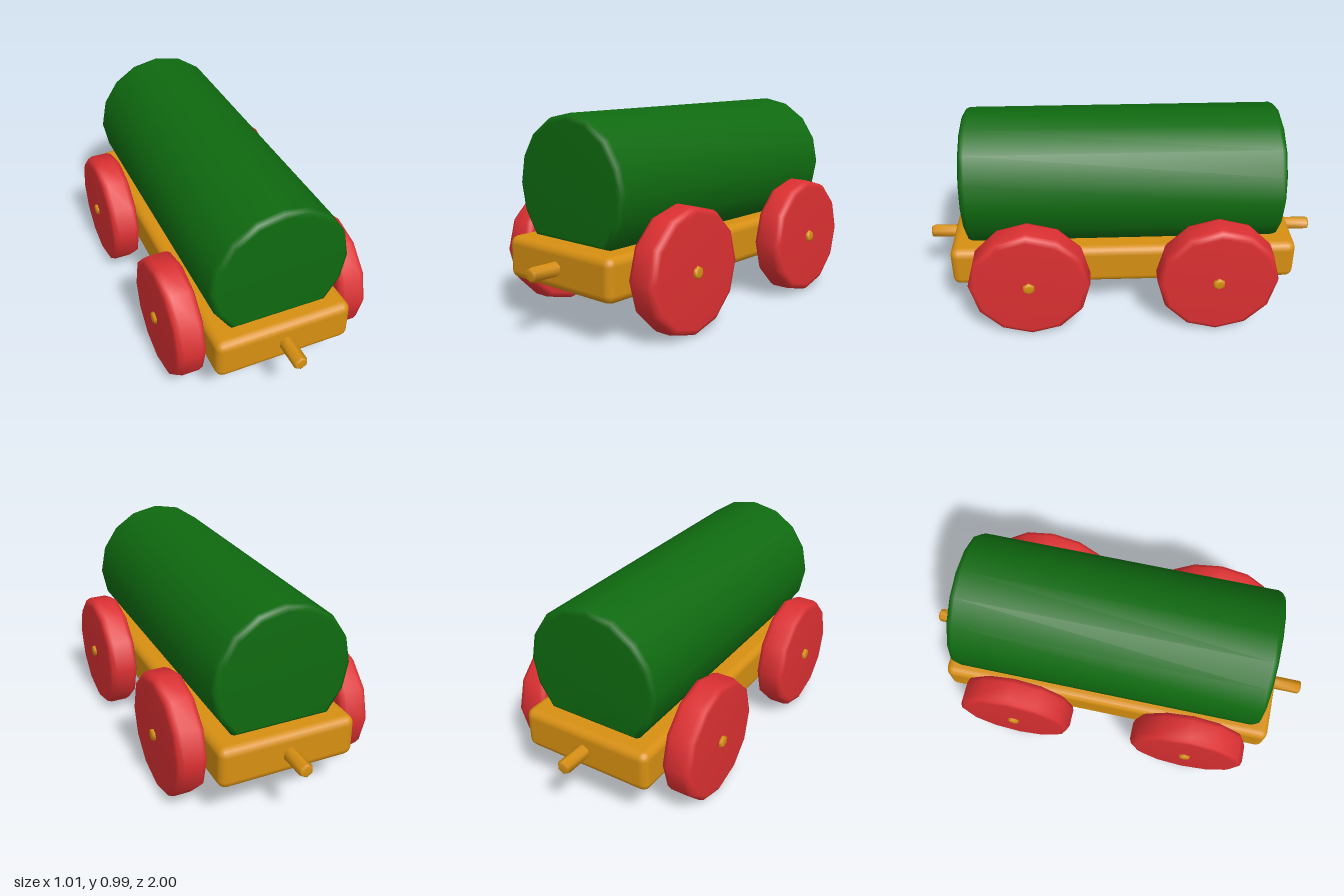
import * as THREE from 'three';
import { RoundedBoxGeometry } from 'three/addons/geometries/RoundedBoxGeometry.js';

// Regular polygon outline, counter-clockwise, first corner at the top
function polygon(sides, radius) {
  return Array.from({ length: sides }, (_, i) => {
    const a = Math.PI / 2 + (i / sides) * Math.PI * 2;
    return new THREE.Vector2(Math.cos(a) * radius, Math.sin(a) * radius);
  });
}

// Smooth prism along z whose end rims are rounded by a two-step bevel
function bevelledPrism(outline, radius, length, bevel) {
  const n = outline.length, h = length / 2, rings = [];
  for (let i = 0; i <= 2; i++) {
    const a = (i / 2) * Math.PI / 2;
    rings.push([-h + bevel * (1 - Math.sin(a)), 1 - (bevel / radius) * (1 - Math.cos(a))]);
  }
  rings.reverse();
  // order the rings from back to front
  const back = rings.map(([z, s]) => [z, s]).sort((p, q) => p[0] - q[0]);
  const all = [...back, ...back.map(([z, s]) => [-z, s]).reverse()];
  const pos = [], index = [];
  for (const [z, s] of all) for (const p of outline) pos.push(p.x * s, p.y * s, z);
  for (let r = 0; r < all.length - 1; r++) {
    for (let j = 0; j < n; j++) {
      const k = (j + 1) % n;
      const a = r * n + j, b = r * n + k, c = b + n, d = a + n;
      index.push(a, b, c, a, c, d);
    }
  }
  const backCentre = pos.length / 3, frontCentre = backCentre + 1;
  pos.push(0, 0, -h, 0, 0, h);
  const last = (all.length - 1) * n;
  for (let j = 0; j < n; j++) {
    const k = (j + 1) % n;
    index.push(backCentre, k, j, frontCentre, last + j, last + k);
  }
  const geo = new THREE.BufferGeometry();
  geo.setAttribute('position', new THREE.Float32BufferAttribute(pos, 3));
  geo.setIndex(index);
  geo.computeVertexNormals();
  return geo;
}

export function createModel() {
  const model = new THREE.Group();
  model.name = 'toyTankWagon';
  const material = (name, color) => {
    const m = new THREE.MeshStandardMaterial({ color });
    m.name = name;
    return m;
  };
  const green = material('greenPaint', 0x0f6a10);
  const orange = material('orangeWood', 0xd68f12);
  const red = material('redPaint', 0xdc3032);

  const add = (name, geo, mat, x, y, z, alongX = false) => {
    const mesh = new THREE.Mesh(geo, mat);
    mesh.name = name;
    mesh.position.set(x, y, z);
    if (alongX) mesh.rotation.y = Math.PI / 2;
    model.add(mesh);
  };

  // Chassis
  add('chassis', new RoundedBoxGeometry(0.68, 0.205, 1.71, 2, 0.04), orange, 0, 0.307, 0);

  // Tank: sixteen-sided barrel with its underside cut flat
  const tankOutline = polygon(16, 0.34).filter((p) => p.y > -0.25);
  add('tank', bevelledPrism(tankOutline, 0.34, 1.555, 0.03), green, 0, 0.651, 0);

  // Coupling pegs at both ends
  const peg = bevelledPrism(polygon(6, 0.035), 0.035, 0.22, 0.012);
  add('frontCoupling', peg, orange, 0, 0.309, 0.89);
  add('backCoupling', peg, orange, 0, 0.309, -0.89);

  // Axles and wheels
  const axle = bevelledPrism(polygon(6, 0.031), 0.031, 1.01, 0.012);
  const wheel = bevelledPrism(polygon(12, 0.296), 0.296, 0.148, 0.032);
  for (const [end, z] of [['front', 0.463], ['back', -0.453]]) {
    add(end + 'Axle', axle, orange, 0, 0.3, z, true);
    add(end + 'LeftWheel', wheel, red, 0.416, 0.298, z, true);
    add(end + 'RightWheel', wheel, red, -0.416, 0.298, z, true);
  }
  return model;
}
